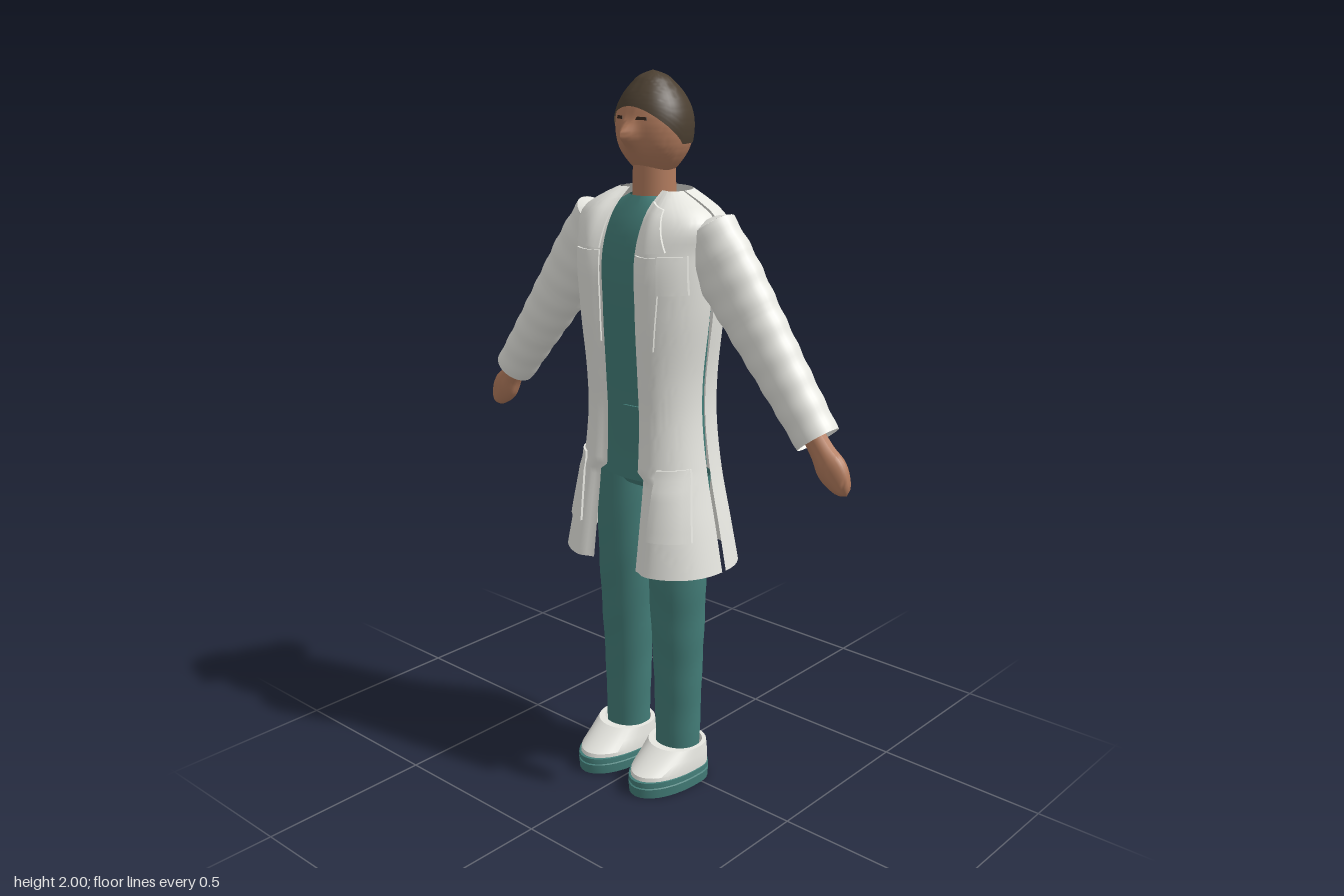
import * as THREE from 'three';
import { toCreasedNormals } from 'three/addons/utils/BufferGeometryUtils.js';

const mat = (name, color) =>
  Object.assign(new THREE.MeshStandardMaterial({ color, side: THREE.DoubleSide }), { name });

// Surface grid from a rule f(u, v) -> [x, y, z]
function surface(f, nu, nv, crease = 0.8) {
  const pos = [], idx = [];
  for (let j = 0; j <= nv; j++)
    for (let i = 0; i <= nu; i++) {
      pos.push(...f(i / nu, j / nv));
      if (i < nu && j < nv) {
        const a = j * (nu + 1) + i, c = a + nu + 1;
        idx.push(a, a + 1, c + 1, a, c + 1, c);
      }
    }
  const g = new THREE.BufferGeometry();
  g.setAttribute('position', new THREE.Float32BufferAttribute(pos, 3));
  g.setIndex(idx);
  return toCreasedNormals(g, crease);
}

// Smooth lookup through rows [y, a, b, c], listed from low to high
function profile(rows) {
  const it = new THREE.CubicInterpolant(rows.map(r => r[0]), rows.flatMap(r => r.slice(1)), rows[0].length - 1);
  const lo = rows[0][0], hi = rows[rows.length - 1][0];
  const f = y => [...it.evaluate(THREE.MathUtils.clamp(y, lo, hi))];
  return Object.assign(f, { lo, hi });
}

// Closed loft of ellipses; rows give [y, half width, front depth, back depth]
function loft(rows, nu = 32, nv = 24, warp = p => p) {
  const prof = profile(rows);
  return surface((u, v) => {
    const a = u * Math.PI * 2, y = prof.lo + (prof.hi - prof.lo) * v, [w, f, b] = prof(y);
    const c = Math.cos(a);
    return warp([w * Math.sin(a), y, c * (c > 0 ? f : b)], v);
  }, nu, nv);
}

// Straight-sided rings, for parts with hard steps
function rings(rows, cx = 0) {
  return surface((u, v) => {
    const [y, w, f, b] = rows[Math.round(v * (rows.length - 1))], a = u * Math.PI * 2, c = Math.cos(a);
    return [cx + w * Math.sin(a), y, Math.sign(c) * Math.abs(c) ** 0.9 * (c > 0 ? f : b)];
  }, 36, rows.length - 1, 0.5);
}

// Thin plate lying on a front surface; corners run anticlockwise from lower left
function plate(zAt, [p, q, r, s], lift) {
  const n = 9, k = t => THREE.MathUtils.clamp((t * n - 1) / (n - 2), 0, 1);
  return surface((u, v) => {
    const a = k(u), b = k(v), rim = u === 0 || u === 1 || v === 0 || v === 1;
    const mix = i => (p[i] * (1 - a) + q[i] * a) * (1 - b) + (s[i] * (1 - a) + r[i] * a) * b;
    const x = mix(0), y = mix(1);
    return [x, y, zAt(x, y) + (rim ? -0.003 : lift)];
  }, n, n, 0.4);
}

export function createModel() {
  const root = new THREE.Group();
  root.name = 'coatedFigure';
  const white = mat('coatWhite', 0xe6e6e0), teal = mat('scrubTeal', 0x437d78);
  const skin = mat('skin', 0xb27b5d), hair = mat('hairBrown', 0x4b3f31), dark = mat('eyeDark', 0x33241c);
  const add = (parent, name, geo, m) => {
    const mesh = new THREE.Mesh(geo, m);
    mesh.name = name;
    parent.add(mesh);
    return mesh;
  };

  // Head with a nose bump
  const headRows = [[1.735, 0.04, 0.025, 0.05], [1.76, 0.066, 0.05, 0.072], [1.8, 0.092, 0.08, 0.098],
    [1.845, 0.103, 0.091, 0.107], [1.89, 0.1, 0.09, 0.106], [1.93, 0.084, 0.077, 0.09],
    [1.965, 0.057, 0.053, 0.062], [1.988, 0.029, 0.028, 0.032], [1.998, 0, 0, 0]];
  const headAt = profile(headRows);
  const nose = (x, y) => 0.036 * Math.exp(-((x / 0.022) ** 2) - ((y - 1.842) / 0.028) ** 2);
  add(root, 'head', loft(headRows, 64, 40, ([x, y, z]) => [x, y, z + (z > 0 ? nose(x, y) : 0)]), skin);
  add(root, 'neck', new THREE.CylinderGeometry(0.056, 0.06, 0.16, 28).translate(0, 1.7, -0.005), skin);

  // Hair cap, low at the back and raised over the forehead
  add(root, 'hair', surface((u, v) => {
    const a = u * Math.PI * 2, c = Math.cos(a), line = 1.816 + 0.095 * Math.max(0, c);
    const y = line + (1.998 - line) * v, [w, f, b] = headAt(y), g = 0.004 * (1 - v);
    return [(w + g) * Math.sin(a), y + 0.002, c * ((c > 0 ? f : b) + g)];
  }, 48, 24), hair);

  // Eyes
  const faceZ = (x, y) => {
    const [w, f] = headAt(y);
    return f * Math.sqrt(1 - (x / w) ** 2) + nose(x, y);
  };
  for (const s of [-1, 1])
    add(root, s > 0 ? 'leftEye' : 'rightEye', plate(faceZ,
      [[s * 0.037 - 0.014, 1.88], [s * 0.037 + 0.014, 1.88], [s * 0.037 + 0.011, 1.888], [s * 0.037 - 0.011, 1.888]], 0.003), dark);

  // Shirt and hips
  add(root, 'shirt', loft([[0.92, 0.172, 0.112, 0.115], [1.0, 0.165, 0.11, 0.115], [1.15, 0.155, 0.11, 0.115],
    [1.3, 0.165, 0.118, 0.125], [1.5, 0.175, 0.122, 0.13], [1.6, 0.17, 0.105, 0.12],
    [1.65, 0.13, 0.082, 0.1], [1.685, 0.062, 0.062, 0.068]], 48, 30), teal);
  add(root, 'shirtPocket', plate((x, y) => 0.111 * Math.sqrt(1 - (x / 0.16) ** 2),
    [[-0.005, 1.0], [0.058, 1.0], [0.058, 1.13], [-0.005, 1.13]], 0.004), teal);
  add(root, 'hips', rings([[0.885, 0, 0, 0], [0.89, 0.1, 0.07, 0.07], [0.93, 0.175, 0.098, 0.1], [1.02, 0.155, 0.09, 0.1]]), teal);

  // Coat profile: half width, front depth, back depth
  const coat = profile([[0.68, 0.26, 0.182, 0.186], [0.8, 0.235, 0.166, 0.17], [0.95, 0.202, 0.148, 0.153],
    [1.1, 0.182, 0.142, 0.148], [1.2, 0.182, 0.147, 0.151], [1.4, 0.205, 0.158, 0.156], [1.55, 0.212, 0.156, 0.155],
    [1.64, 0.212, 0.118, 0.14], [1.67, 0.168, 0.09, 0.122], [1.7, 0.105, 0.05, 0.1]]);
  const edge = y => (y < 0.94 ? 0.079 : 0.057);
  const ease = c => Math.max(0, c) ** 0.85;
  const dip = d => 0.022 * Math.exp(-((d / 0.03) ** 2));
  const frontZ = (x, y) => {
    const [w, f] = coat(y), e = edge(y), s = Math.min(0.985, Math.max(0, (Math.abs(x) - e) / (w - e)));
    return f * ease(Math.sqrt(1 - s * s)) - dip(s * (w - e));
  };
  const span = v => 0.68 + 1.02 * v;
  add(root, 'coatBack', surface((u, v) => {
    const y = span(v), [w, , b] = coat(y), a = Math.PI / 2 + 0.02 + u * (Math.PI - 0.04);
    return [w * Math.sin(a), y, -b * ease(-Math.cos(a)) - 0.002];
  }, 40, 48), white);

  // Front panels with lapels and pockets
  for (const s of [-1, 1]) {
    const side = new THREE.Group();
    side.name = s > 0 ? 'leftCoatFront' : 'rightCoatFront';
    side.scale.x = s;
    root.add(side);
    add(side, 'coatPanel', surface((u, v) => {
      const y = span(v), [w, f] = coat(y), e = edge(y), a = u * (Math.PI / 2 - 0.02);
      const x = e + (w - e) * Math.sin(a);
      return [x, y, f * ease(Math.cos(a)) - dip(x - e)];
    }, 24, 60), white);
    add(side, 'collar', plate(frontZ, [[0.066, 1.55], [0.155, 1.56], [0.118, 1.662], [0.06, 1.675]], 0.006), white);
    add(side, 'lapel', plate(frontZ, [[0.064, 1.3], [0.125, 1.3], [0.15, 1.545], [0.064, 1.545]], 0.006), white);
    add(side, 'hipPocket', plate(frontZ, [[0.122, 0.78], [0.222, 0.78], [0.19, 0.975], [0.13, 0.975]], 0.008), white);
    if (s > 0) add(side, 'breastPocket', plate(frontZ, [[0.14, 1.45], [0.195, 1.45], [0.195, 1.55], [0.14, 1.55]], 0.008), white);
  }

  // Arms, legs and shoes, mirrored
  for (const s of [-1, 1]) {
    const limbs = new THREE.Group();
    limbs.name = s > 0 ? 'leftLimbs' : 'rightLimbs';
    limbs.scale.x = s;
    root.add(limbs);

    // Arm frame: y runs from the cuff up to the shoulder
    const arm = new THREE.Group();
    arm.name = 'arm';
    arm.position.set(0.555, 1.12, 0);
    arm.rotation.z = 0.66;
    limbs.add(arm);
    const crumple = ([x, y, z]) => {
      const k = 1 + 0.018 * Math.sin(y * 85 + x * 14 + z * 10);
      return [x * k, y, z * k];
    };
    add(arm, 'sleeve', loft([[0, 0.06, 0.057, 0.057], [0.15, 0.068, 0.06, 0.062], [0.35, 0.082, 0.064, 0.068],
      [0.5, 0.092, 0.066, 0.073], [0.605, 0.09, 0.066, 0.072]], 32, 64, crumple), white);
    add(arm, 'sleeveCap', rings([[0.605, 0.09, 0.066, 0.072], [0.622, 0.06, 0.045, 0.05], [0.628, 0, 0, 0]]), white);
    add(arm, 'hand', loft([[-0.158, 0, 0, 0], [-0.15, 0.015, 0.012, 0.012], [-0.125, 0.033, 0.022, 0.022],
      [-0.08, 0.044, 0.03, 0.03], [-0.035, 0.034, 0.028, 0.028], [0.04, 0.03, 0.026, 0.026]], 20, 20,
      ([x, y, z]) => [x - 0.006, y, z]), skin);

    // Trouser leg with slight creases
    add(limbs, 'trouserLeg', loft([[0.08, 0.066, 0.06, 0.058], [0.3, 0.073, 0.064, 0.062], [0.5, 0.082, 0.075, 0.066],
      [0.68, 0.088, 0.085, 0.07], [0.93, 0.086, 0.09, 0.092]], 28, 40, ([x, y, z]) => {
      const k = 1 + 0.01 * Math.sin(y * 40 + x * 30 + z * 25);
      return [0.098 - 0.003 * y + x * k, y, z * k];
    }), teal);

    // Shoe upper, rimmed sole and recessed tread
    add(limbs, 'shoeUpper', rings([[0.04, 0.088, 0.184, 0.074], [0.06, 0.089, 0.178, 0.075], [0.085, 0.087, 0.135, 0.075],
      [0.113, 0.083, 0.09, 0.074], [0.113, 0.07, 0.068, 0.064], [0.085, 0.066, 0.06, 0.058]], 0.1), white);
    add(limbs, 'shoeSole', rings([[0.014, 0.07, 0.165, 0.057], [0, 0.072, 0.168, 0.059], [0, 0.09, 0.188, 0.076],
      [0.028, 0.092, 0.19, 0.077], [0.03, 0.088, 0.186, 0.074], [0.034, 0.088, 0.186, 0.074],
      [0.036, 0.092, 0.19, 0.077], [0.048, 0.091, 0.189, 0.076], [0.05, 0.085, 0.175, 0.07]], 0.1), teal);
    add(limbs, 'shoeTread', rings([[0.013, 0, 0, 0], [0.013, 0.072, 0.168, 0.059]], 0.1), white);
  }
  return root;
}
